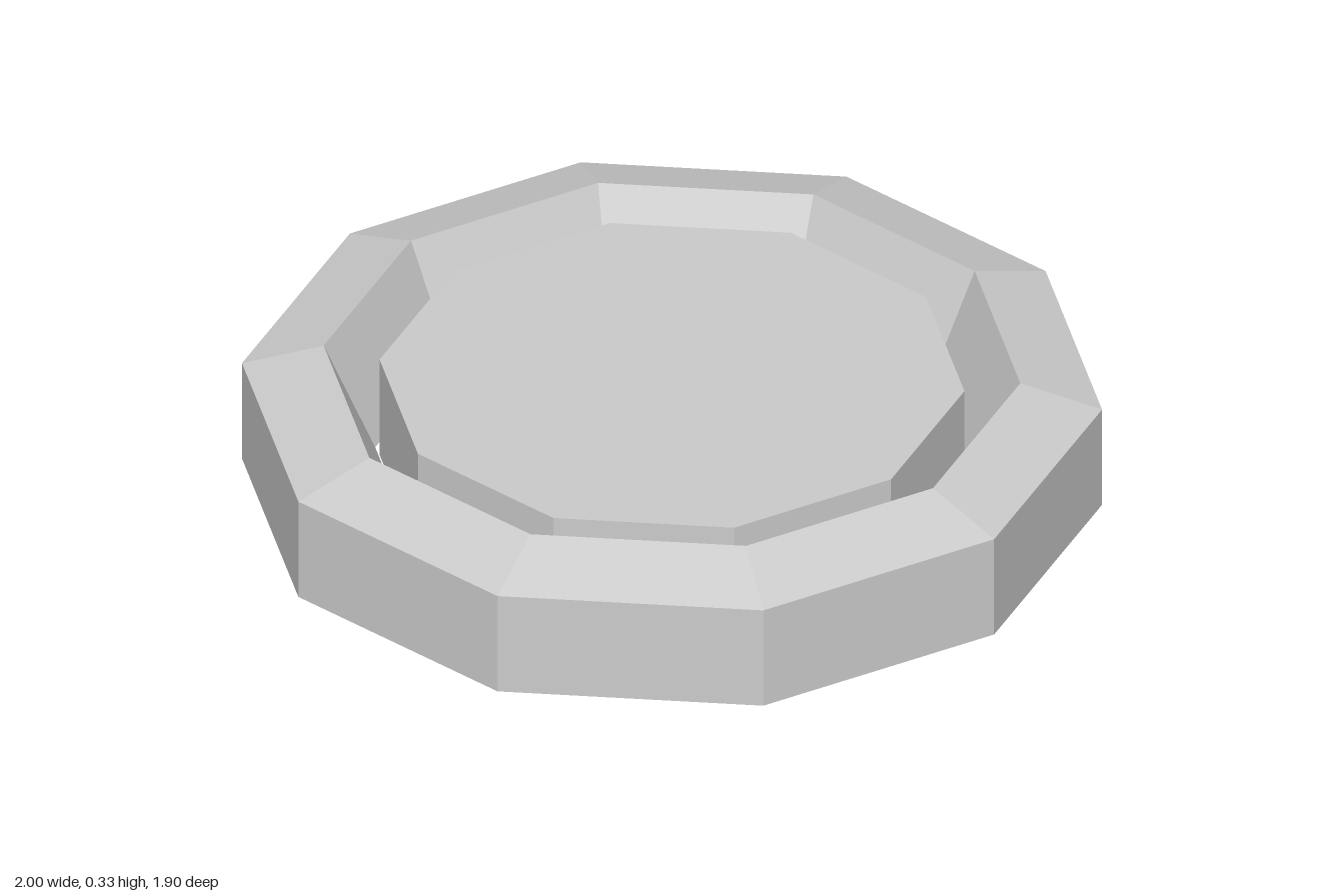
import * as THREE from 'three';

const SIDES = 10;

// Ten-sided shell turned from a [radius, height] profile, with corners on the x axis
function turned(name, profile, material) {
  const points = profile.map(([r, y]) => new THREE.Vector2(r, y));
  const mesh = new THREE.Mesh(new THREE.LatheGeometry(points, SIDES, Math.PI / SIDES), material);
  mesh.name = name;
  return mesh;
}

export function createModel() {
  const group = new THREE.Group();
  group.name = 'buttonPad';
  const material = new THREE.MeshStandardMaterial({
    color: 0xcccccc, flatShading: true, side: THREE.DoubleSide,
  });

  // Outer ring, open underneath: wall, bevel, inward slope, flared inner foot
  group.add(turned('rim', [
    [1, 0.01], [1, 0.27], [0.81, 0.33], [0.69, 0.06], [0.81, 0],
  ], material));

  // Cap with its hollow skirt, set inside the ring with a narrow gap
  group.add(turned('cap', [[0.68, 0.04], [0.68, 0.3], [0, 0.3]], material));

  return group;
}
